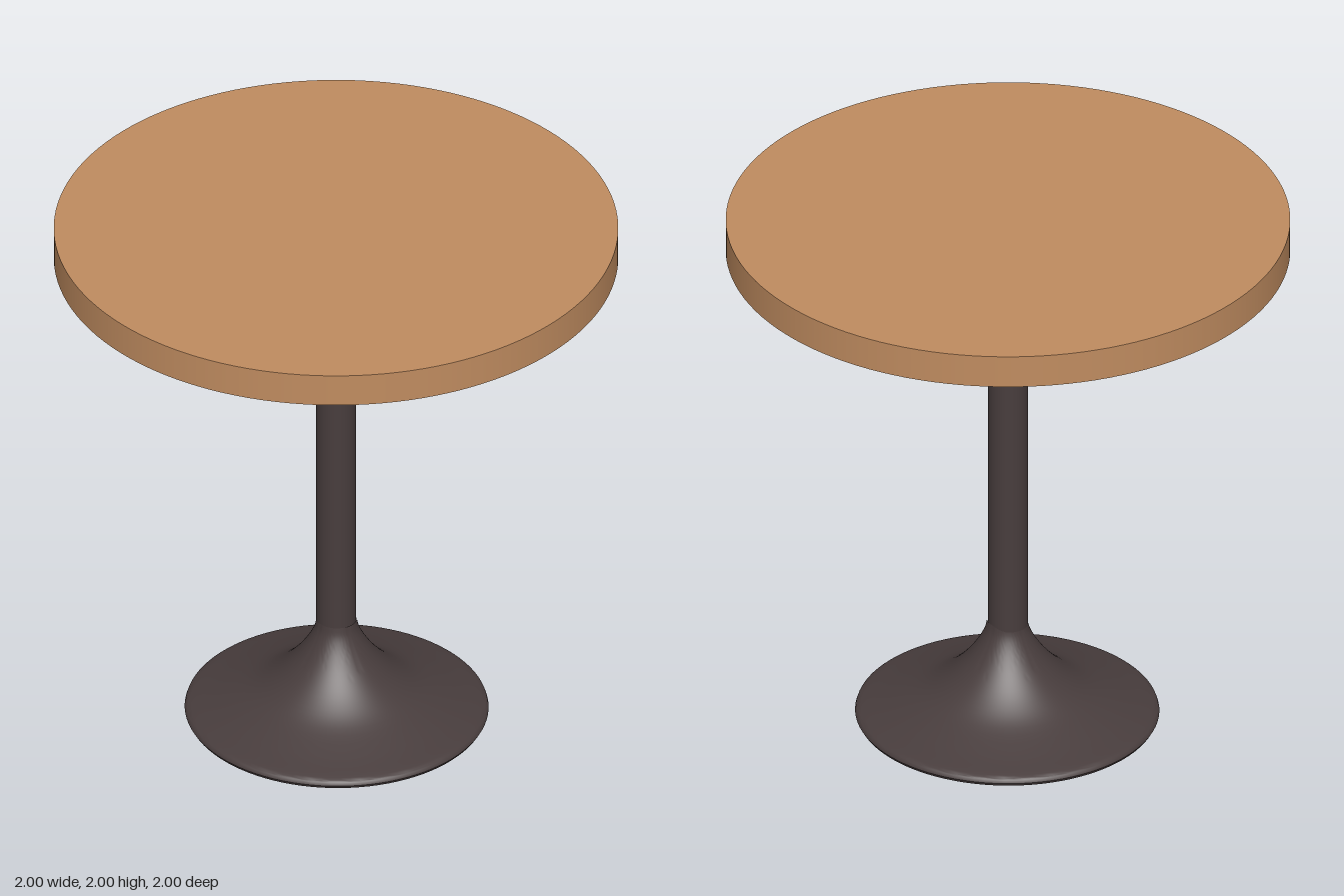
import * as THREE from 'three';
import { toCreasedNormals } from 'three/addons/utils/BufferGeometryUtils.js';

export function createModel() {
  const wood = new THREE.MeshStandardMaterial({ color: 0xc08c60 });
  wood.name = 'warm wood';
  const metal = new THREE.MeshStandardMaterial({ color: 0x483d3d });
  metal.name = 'dark metal';

  const table = new THREE.Group();
  table.name = 'pedestalTable';
  const v = (x, y) => new THREE.Vector2(x, y);

  function addPart(name, geometry, material) {
    const mesh = new THREE.Mesh(geometry, material);
    mesh.name = name;
    table.add(mesh);
    return mesh;
  }

  // Round tabletop
  const top = addPart('tabletop', new THREE.CylinderGeometry(1, 1, 0.122, 128), wood);
  top.position.y = 1.939;

  // Straight column
  const column = addPart('column', new THREE.CylinderGeometry(0.071, 0.071, 1.515, 48, 1, true), metal);
  column.position.y = 0.365 + 1.515 / 2;

  // Flared foot: flat underside, thin rim, concave sweep up to the column
  const flare = new THREE.SplineCurve([
    v(0.533, 0.024), v(0.515, 0.033), v(0.42, 0.06), v(0.3, 0.103), v(0.22, 0.155),
    v(0.155, 0.22), v(0.108, 0.285), v(0.08, 0.34), v(0.071, 0.38),
  ]).getPoints(32);
  const profile = [v(0, 0), v(0.53, 0), v(0.537, 0.012), ...flare];
  const foot = new THREE.LatheGeometry(profile, 96);
  const base = addPart('flaredBase', toCreasedNormals(foot, Math.PI / 5), metal);
  base.position.z = 0.004;
  base.scale.z = 1.008;

  return table;
}
